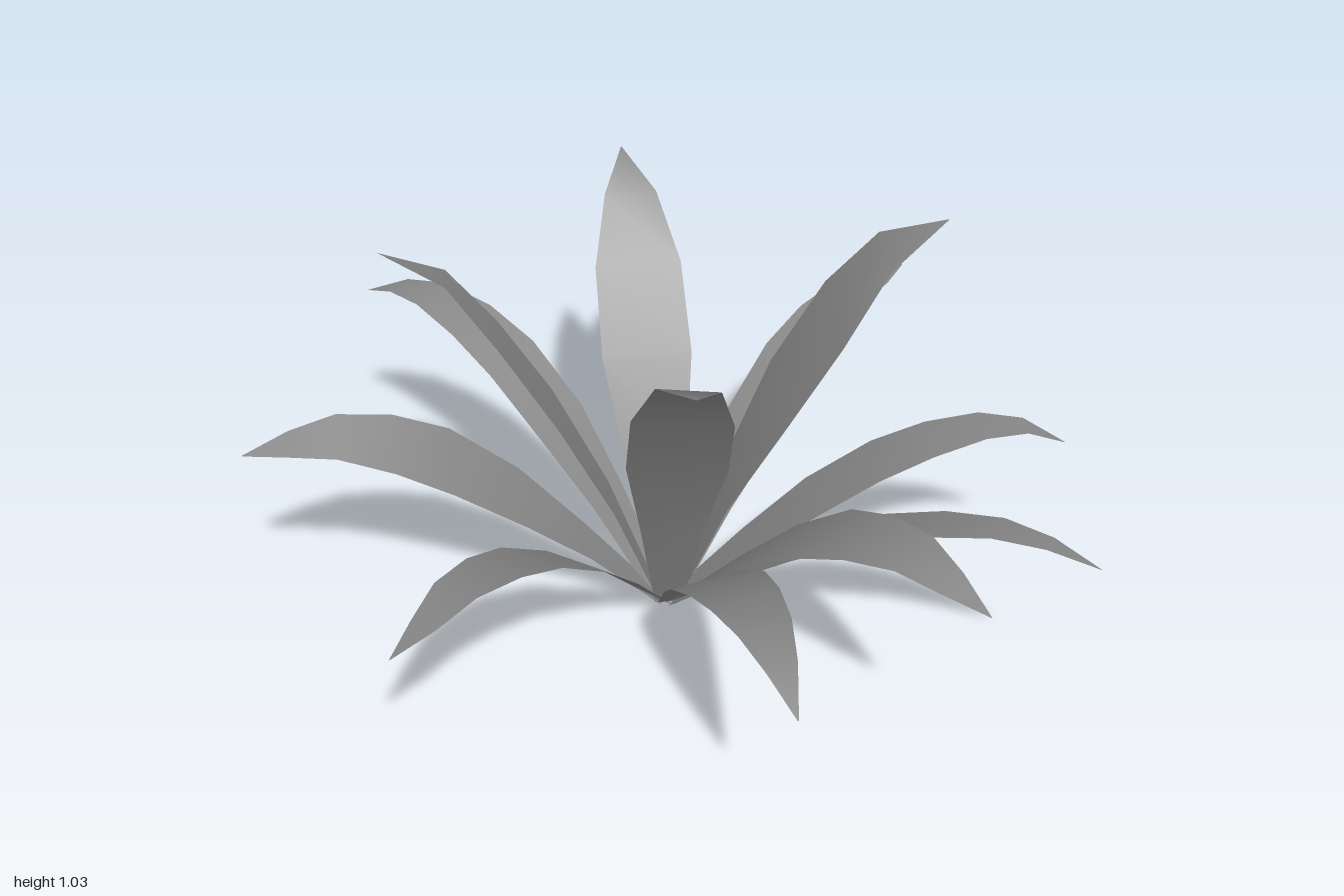
import * as THREE from 'three';

const material = new THREE.MeshStandardMaterial({ color: 0x868686, side: THREE.DoubleSide });
const CENTRE = { x: -0.015, z: -0.02 };

// Profile rows: fraction of reach, fraction of peak height, width
const ARCHING = [
  [0.02, 0, 0.06], [0.2, 0.35, 0.115], [0.36, 0.62, 0.165], [0.52, 0.83, 0.165],
  [0.65, 0.94, 0.145], [0.78, 1, 0.11], [0.89, 0.985, 0.065], [1, null, 0.002],
];
const UPRIGHT = [
  [0.03, 0, 0.065], [0.22, 0.32, 0.15], [0.42, 0.58, 0.225],
  [0.61, 0.78, 0.215], [0.78, 0.93, 0.13], [1, null, 0.002],
];

// One blade: a strip of cross-sections from the crown to the tip.
// bow shifts the middle sideways; roll raises one edge, growing away from the crown.
function blade(name, profile, [tipX, tipY, tipZ, peak, bow, roll]) {
  const dx = tipX - CENTRE.x, dz = tipZ - CENTRE.z;
  const reach = Math.hypot(dx, dz);
  const px = -dz / reach, pz = dx / reach; // sideways direction
  const positions = [], index = [];
  profile.forEach(([t, h, width], i) => {
    const y = h === null ? tipY : h * peak;
    const shift = bow * Math.sin(Math.PI * t);
    const tilt = roll * Math.min(1, 2 * (t - profile[0][0]));
    for (const side of [-0.5, 0.5]) {
      const s = shift + side * width;
      positions.push(CENTRE.x + dx * t + px * s, y + side * width * tilt, CENTRE.z + dz * t + pz * s);
    }
    if (i > 0) {
      const a = 2 * i - 2;
      index.push(a, a + 2, a + 1, a + 1, a + 2, a + 3);
    }
  });
  const geometry = new THREE.BufferGeometry();
  geometry.setAttribute('position', new THREE.Float32BufferAttribute(positions, 3));
  geometry.setIndex(index);
  geometry.computeVertexNormals();
  const mesh = new THREE.Mesh(geometry, material);
  mesh.name = name;
  return mesh;
}

export function createModel() {
  const plant = new THREE.Group();
  plant.name = 'leafyPlant';

  // Outer arching leaves: tip x, y, z, peak height, bow, roll
  const outer = [
    [0.05, 0.565, -0.97, 0.575, -0.015, -0.1],
    [0.72, 0.465, -0.62, 0.53, 0.03, 0],
    [1.0, 0.48, -0.22, 0.525, 0.03, 0.2],
    [0.93, 0.575, 0.16, 0.6, -0.015, -0.3],
    [0.75, 0.5, 0.56, 0.55, 0, -0.2],
    [0.08, 0.565, 0.96, 0.575, 0.02, -0.1],
    [-0.68, 0.55, 0.69, 0.58, 0, 0.45],
    [-1.0, 0.555, 0.0, 0.61, 0.03, 0.12],
    [-0.68, 0.55, -0.76, 0.61, 0, 0],
  ];
  outer.forEach((leaf, i) => plant.add(blade(`outerLeaf${i + 1}`, ARCHING, leaf)));

  // Inner upright leaves, same columns
  const inner = [
    [0.43, 1.03, -0.46, 1.03, 0, -0.25],
    [0.42, 1.03, 0.45, 1.03, 0, 0.12],
    [-0.45, 1.03, 0.42, 1.03, 0, -0.22],
    [-0.53, 0.92, -0.49, 0.93, 0, 0],
  ];
  inner.forEach((leaf, i) => plant.add(blade(`innerLeaf${i + 1}`, UPRIGHT, leaf)));

  return plant;
}
